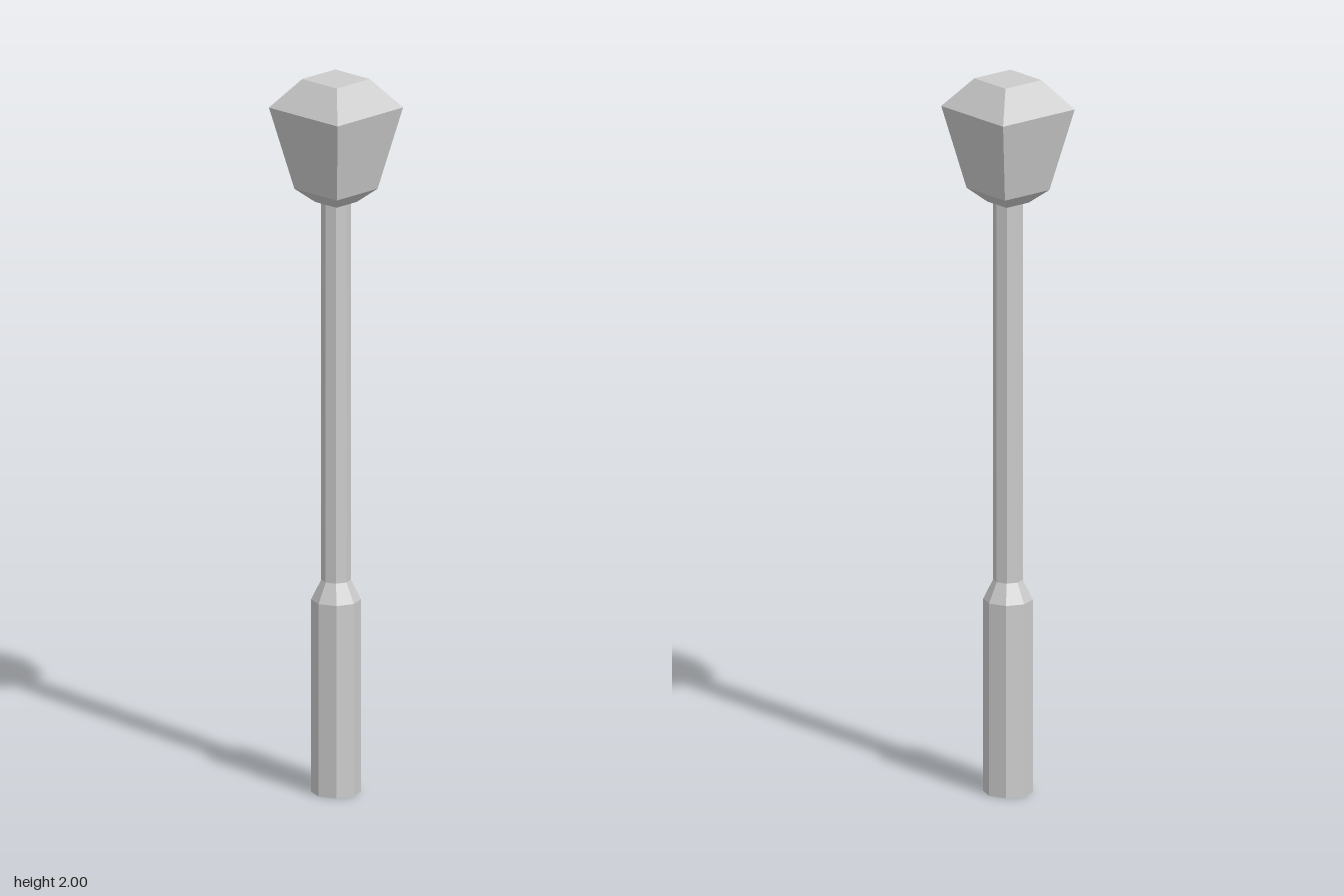
import * as THREE from 'three';

const material = new THREE.MeshStandardMaterial({ color: 0xcccccc, flatShading: true });

// Faceted solid from a bottom-to-top [radius, height] profile
function faceted(name, profile, sides, phiStart = 0) {
  const points = profile.map(([r, y]) => new THREE.Vector2(r, y));
  const geometry = new THREE.LatheGeometry(points, sides, phiStart).toNonIndexed();
  geometry.computeVertexNormals();
  const mesh = new THREE.Mesh(geometry, material);
  mesh.name = name;
  return mesh;
}

export function createModel() {
  const group = new THREE.Group();
  group.name = 'lampPost';

  // Octagonal post: thick base, short taper, slender shaft
  group.add(faceted('post', [
    [0, 0], [0.067, 0], [0.067, 0.54], [0.04, 0.595], [0.04, 1.655],
  ], 8));

  // Four-sided lantern: collar, flared body, sloped cap (half widths)
  const halfWidths = [[0, 1.655], [0.04, 1.655], [0.08, 1.692], [0.129, 1.92], [0.065, 2], [0, 2]];
  const lantern = faceted('lantern', halfWidths.map(([w, y]) => [w * Math.SQRT2, y]), 4, Math.PI / 4);
  lantern.scale.z = 0.98;
  group.add(lantern);

  return group;
}
